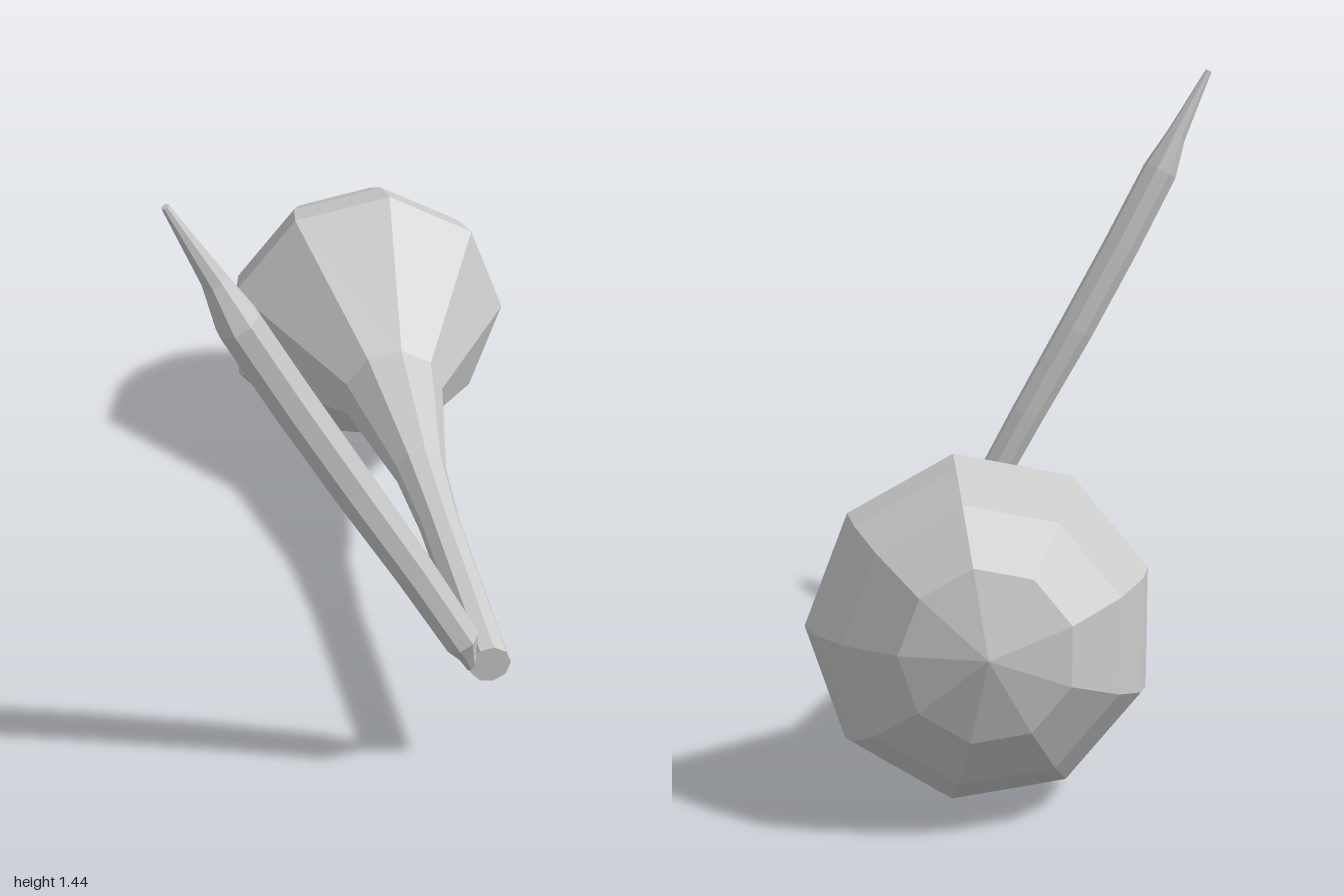
import * as THREE from 'three';

const material = new THREE.MeshStandardMaterial({ color: 0xcccccc, flatShading: true });

// Skins a row of rings [x, y, z, radius], all facing along one axis, and caps both ends.
function loft(rings, sides) {
  const first = new THREE.Vector3(...rings[0]);
  const last = new THREE.Vector3(...rings[rings.length - 1]);
  const axis = last.sub(first).normalize();
  const u = new THREE.Vector3(0, 0, 1).cross(axis).normalize();
  const v = axis.clone().cross(u);
  const positions = [];
  const index = [];
  for (const [x, y, z, r] of rings) {
    for (let i = 0; i < sides; i++) {
      const a = (i / sides) * Math.PI * 2;
      const p = new THREE.Vector3(x, y, z).addScaledVector(u, r * Math.cos(a)).addScaledVector(v, r * Math.sin(a));
      positions.push(p.x, p.y, p.z);
    }
  }
  for (let k = 0; k < rings.length - 1; k++) {
    for (let i = 0; i < sides; i++) {
      const a = k * sides + i;
      const b = k * sides + ((i + 1) % sides);
      index.push(a, b, b + sides, a, b + sides, a + sides);
    }
  }
  const top = (rings.length - 1) * sides;
  for (let i = 1; i < sides - 1; i++) {
    index.push(0, i + 1, i, top, top + i, top + i + 1);
  }
  const geometry = new THREE.BufferGeometry();
  geometry.setAttribute('position', new THREE.Float32BufferAttribute(positions, 3));
  geometry.setIndex(index);
  geometry.computeVertexNormals();
  return geometry;
}

export function createModel() {
  const model = new THREE.Group();
  model.name = 'gourdWithStem';

  // Rounded bulb, flared shoulder and long neck: [radius, distance along the axis]
  const profile = [
    [0, -0.352], [0.17, -0.305], [0.277, -0.2], [0.334, -0.09], [0.354, 0],
    [0.122, 0.36], [0.06, 0.7], [0.047, 0.91], [0.044, 1.42], [0, 1.42],
  ].map(([r, h]) => new THREE.Vector2(r, h));
  const body = new THREE.Mesh(
    new THREE.LatheGeometry(profile, 9, THREE.MathUtils.degToRad(171)),
    material,
  );
  body.name = 'bulbAndNeck';
  const along = new THREE.Vector3(0.333, -0.045, 0.943).normalize();
  const side = new THREE.Vector3(0.943, 0, -0.333).normalize();
  const down = side.clone().cross(along);
  body.quaternion.setFromRotationMatrix(new THREE.Matrix4().makeBasis(side, along, down));
  body.position.set(-0.082, 0.35, -0.66);
  model.add(body);

  // Slim, slightly bowed shaft, pinched at the joint and drawn to a point
  const shaft = new THREE.Mesh(loft([
    [0.352, 0.275, 0.675, 0.012],
    [0.343, 0.325, 0.697, 0.022],
    [0.332, 0.375, 0.717, 0.04],
    [0.235, 0.565, 0.758, 0.043],
    [0.123, 0.78, 0.813, 0.046],
    [0.02, 0.99, 0.873, 0.046],
    [-0.07, 1.185, 0.93, 0.045],
    [-0.108, 1.275, 0.945, 0.026],
    [-0.182, 1.44, 0.992, 0.008],
  ], 8), material);
  shaft.name = 'pointedShaft';
  model.add(shaft);

  return model;
}
